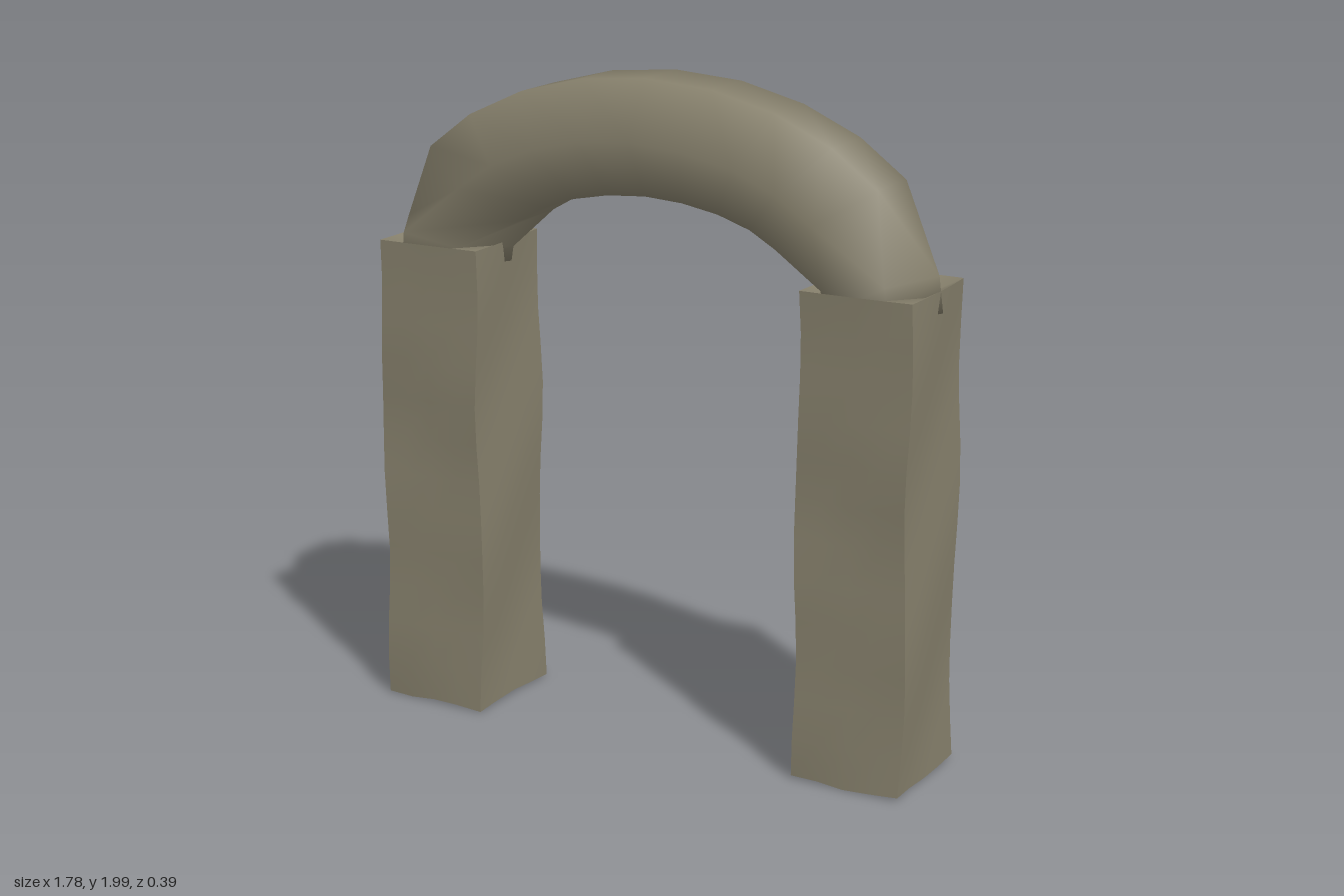
import * as THREE from 'three';

const stone = new THREE.MeshStandardMaterial({ color: 0x857f6b });
stone.name = 'stone';

// Weathered square pillar: a subdivided box with a gentle uneven surface
function makePillar(name, x, seed) {
  const w = 0.34, h = 1.45, d = 0.36;
  const geo = new THREE.BoxGeometry(w, h, d, 4, 12, 4);
  const p = geo.attributes.position;
  for (let i = 0; i < p.count; i++) {
    const px = p.getX(i), py = p.getY(i), pz = p.getZ(i);
    const wave = Math.sin(py * 9 + seed + px * 7) * Math.cos(pz * 8 + py * 4 + seed);
    const wave2 = Math.sin(py * 7 + pz * 9 + seed * 2);
    let y = py;
    if (py < -h / 2 + 0.001) y += 0.005 * Math.sin(px * 22 + pz * 17 + seed);
    // The top is sunk slightly inside its rim
    if (py > h / 2 - 0.001 && Math.abs(px) < w / 2 - 0.01 && Math.abs(pz) < d / 2 - 0.01) y -= 0.04;
    p.setXYZ(i, px + 0.007 * wave2, y, pz + 0.008 * wave);
  }
  geo.translate(x, 0.007 + h / 2 + 0.005, 0);
  geo.computeVertexNormals();
  const mesh = new THREE.Mesh(geo, stone);
  mesh.name = name;
  return mesh;
}

// Six-sided arch lofted between an outer and an inner ellipse
function makeArch() {
  const angles = [0, 10, 35, 48.75, 62.5, 76.25, 90, 103.75, 117.5, 131.25, 145, 170, 180];
  const sides = 6, last = angles.length - 1;
  const pos = [], index = [];
  angles.forEach((deg, i) => {
    const t = THREE.MathUtils.degToRad(deg), c = Math.cos(t), s = Math.sin(t);
    const end = i < 2 || i > last - 2; // end rings point outwards, the others lie flat
    const phase = end ? 0 : Math.PI / 6;
    const reach = end ? 1 : 1 / Math.cos(Math.PI / 6);
    for (let j = 0; j < sides; j++) {
      const a = phase + (j / sides) * Math.PI * 2;
      const k = Math.cos(a) * reach;
      const bump = 0.004 * Math.sin(i * 2.3 + j * 1.7);
      pos.push((0.7 + 0.19 * k) * c, 1.4 + (0.43 + 0.17 * k) * s,
        (0.19 + bump) * Math.sin(a));
    }
  });
  for (let i = 0; i < last; i++) {
    for (let j = 0; j < sides; j++) {
      const n = (j + 1) % sides;
      const a = i * sides + j, b = a + sides, d = i * sides + n, c = d + sides;
      index.push(a, b, d, b, c, d);
    }
  }
  // Closed ends
  for (let j = 1; j < sides - 1; j++) {
    const e = last * sides;
    index.push(0, j, j + 1, e, e + j + 1, e + j);
  }
  const geo = new THREE.BufferGeometry();
  geo.setAttribute('position', new THREE.Float32BufferAttribute(pos, 3));
  geo.setIndex(index);
  geo.computeVertexNormals();
  const mesh = new THREE.Mesh(geo, stone);
  mesh.name = 'arch';
  return mesh;
}

export function createModel() {
  const group = new THREE.Group();
  group.name = 'stoneArchway';
  group.add(
    makePillar('leftPillar', 0.705, 1.3),
    makePillar('rightPillar', -0.695, 4.1),
    makeArch()
  );
  return group;
}
